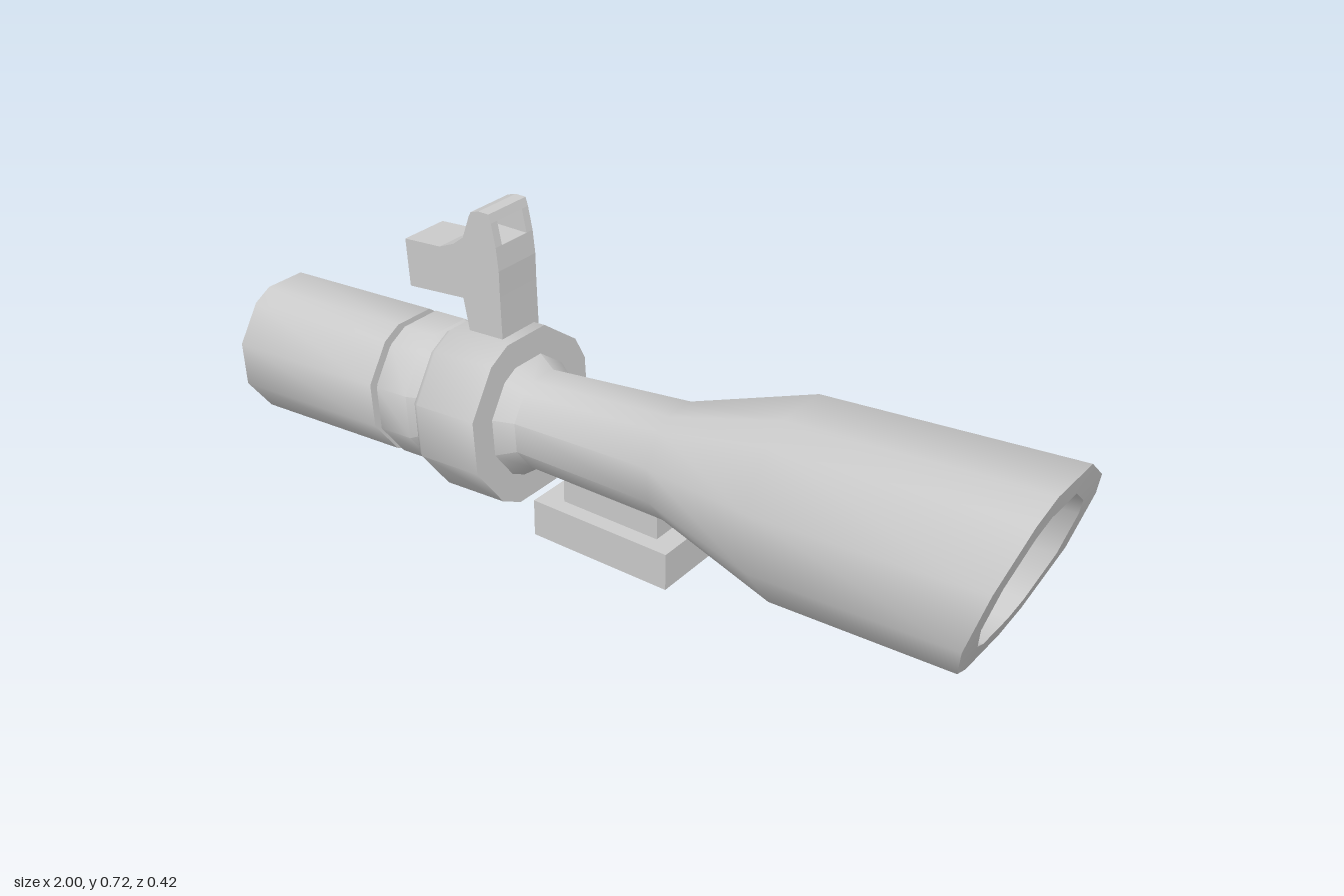
import * as THREE from 'three';
import { toCreasedNormals } from 'three/addons/utils/BufferGeometryUtils.js';

const material = new THREE.MeshStandardMaterial({ color: 0xcccccc });
const thinMaterial = new THREE.MeshStandardMaterial({ color: 0xcccccc, side: THREE.DoubleSide });

// Corner angles of the faceted tube section (a 20-gon with some corners dropped)
const ANGLES = [18, 54, 72, 108, 144, 162, 198, 234, 252, 288, 306, 342].map(THREE.MathUtils.degToRad);

// Front opening is cut at a slightly curved slant
const slantedCut = (y) => 0.94 + 0.383 * y - 0.17 * y * y;

// Closed loop of [position, radius] swept around the x axis; position 'cut' follows the slant
function sweepLoop(profile) {
  const positions = [], index = [];
  const n = ANGLES.length, m = profile.length;
  profile.forEach(([s, r]) => {
    for (const a of ANGLES) {
      const y = r * Math.sin(a);
      positions.push(s === 'cut' ? slantedCut(y) : s, y, r * Math.cos(a));
    }
  });
  for (let i = 0; i < m; i++) {
    for (let j = 0; j < n; j++) {
      const i2 = (i + 1) % m, j2 = (j + 1) % n;
      const a = i * n + j, b = i2 * n + j, c = i2 * n + j2, d = i * n + j2;
      index.push(a, b, d, b, c, d);
    }
  }
  const g = new THREE.BufferGeometry();
  g.setAttribute('position', new THREE.Float32BufferAttribute(positions, 3));
  g.setIndex(index);
  return toCreasedNormals(g, 0.8);
}

function addMesh(parent, name, geometry, mat = material) {
  const mesh = new THREE.Mesh(geometry, mat);
  mesh.name = name;
  parent.add(mesh);
  return mesh;
}

// Side outline in x/y, extruded between two z values
function plate(points, z0, z1) {
  const shape = new THREE.Shape(points.map(([x, y]) => new THREE.Vector2(x, y)));
  const g = new THREE.ExtrudeGeometry(shape, { depth: z1 - z0, bevelEnabled: false });
  return g.translate(0, 0, z0);
}

// Box walls without top and bottom
function boxWalls(x0, x1, y0, y1, z0, z1) {
  const g = new THREE.BoxGeometry(x1 - x0, y1 - y0, z1 - z0);
  const idx = Array.from(g.index.array);
  g.setIndex([...idx.slice(0, 12), ...idx.slice(24)]);
  return g.translate((x0 + x1) / 2, (y0 + y1) / 2, (z0 + z1) / 2);
}

const rectangle = (Type, x0, x1, z0, z1) => new Type([
  new THREE.Vector2(x0, -z1), new THREE.Vector2(x1, -z1),
  new THREE.Vector2(x1, -z0), new THREE.Vector2(x0, -z0),
]);

export function createModel() {
  const model = new THREE.Group();
  model.name = 'scope';

  // Tilted optical tube, hollow from end to end
  const tube = new THREE.Group();
  tube.name = 'tubeAssembly';
  tube.position.y = 0.27;
  tube.rotation.z = 0.063;
  model.add(tube);

  addMesh(tube, 'scopeTube', sweepLoop([
    [-0.99, 0.165], [-0.572, 0.165], [-0.572, 0.143], [-0.552, 0.143], // eyepiece and groove
    [-0.552, 0.165], [-0.465, 0.165], [-0.42, 0.13],                   // collar
    [-0.245, 0.14], [-0.2, 0.11], [0.16, 0.127],                       // neck
    [0.45, 0.213], ['cut', 0.222],                                     // flared front
    ['cut', 0.162], [0.45, 0.15], [0.16, 0.11], [-0.2, 0.1],           // bore
    [-0.45, 0.11], [-0.99, 0.122],
  ]));

  addMesh(tube, 'clampRing', sweepLoop([
    [-0.415, 0.19], [-0.4, 0.2], [-0.24, 0.2], [-0.24, 0.12], [-0.415, 0.12],
  ]));

  // Rear sight on top of the clamp ring, with a window through its head
  const sight = new THREE.Group();
  sight.name = 'sight';
  model.add(sight);
  const zBack = -0.077, zFront = 0.043, wall = 0.02;
  addMesh(sight, 'sightBody', plate([
    [-0.37, 0.42], [-0.28, 0.42], [-0.284, 0.54], [-0.285, 0.6], [-0.291, 0.652],
    [-0.382, 0.652], [-0.41, 0.63], [-0.45, 0.613], [-0.55, 0.605],
    [-0.542, 0.495], [-0.388, 0.51],
  ], zBack, zFront));
  const cheek = [[-0.382, 0.652], [-0.291, 0.652], [-0.302, 0.704], [-0.363, 0.704]];
  for (const z of [zBack, zFront - wall]) {
    addMesh(sight, 'sightWindowSide', plate(cheek, z, z + wall));
  }
  addMesh(sight, 'sightWindowTop', plate([
    [-0.363, 0.704], [-0.302, 0.704], [-0.308, 0.723], [-0.335, 0.723], [-0.357, 0.716],
  ], zBack, zFront));

  // Mounting foot: hollow tray open underneath, with a hollow pedestal above
  const mount = new THREE.Group();
  mount.name = 'mount';
  model.add(mount);
  addMesh(mount, 'trayWalls', boxWalls(-0.185, 0.17, 0, 0.088, -0.115, 0.067), thinMaterial);
  const top = rectangle(THREE.Shape, -0.185, 0.17, -0.115, 0.067);
  top.holes.push(rectangle(THREE.Path, -0.13, 0.12, -0.078, 0.03));
  const topGeometry = new THREE.ShapeGeometry(top).rotateX(-Math.PI / 2).translate(0, 0.088, 0);
  addMesh(mount, 'trayTop', topGeometry, thinMaterial);
  addMesh(mount, 'pedestal', boxWalls(-0.13, 0.12, 0.088, 0.175, -0.078, 0.03), thinMaterial);

  return model;
}
